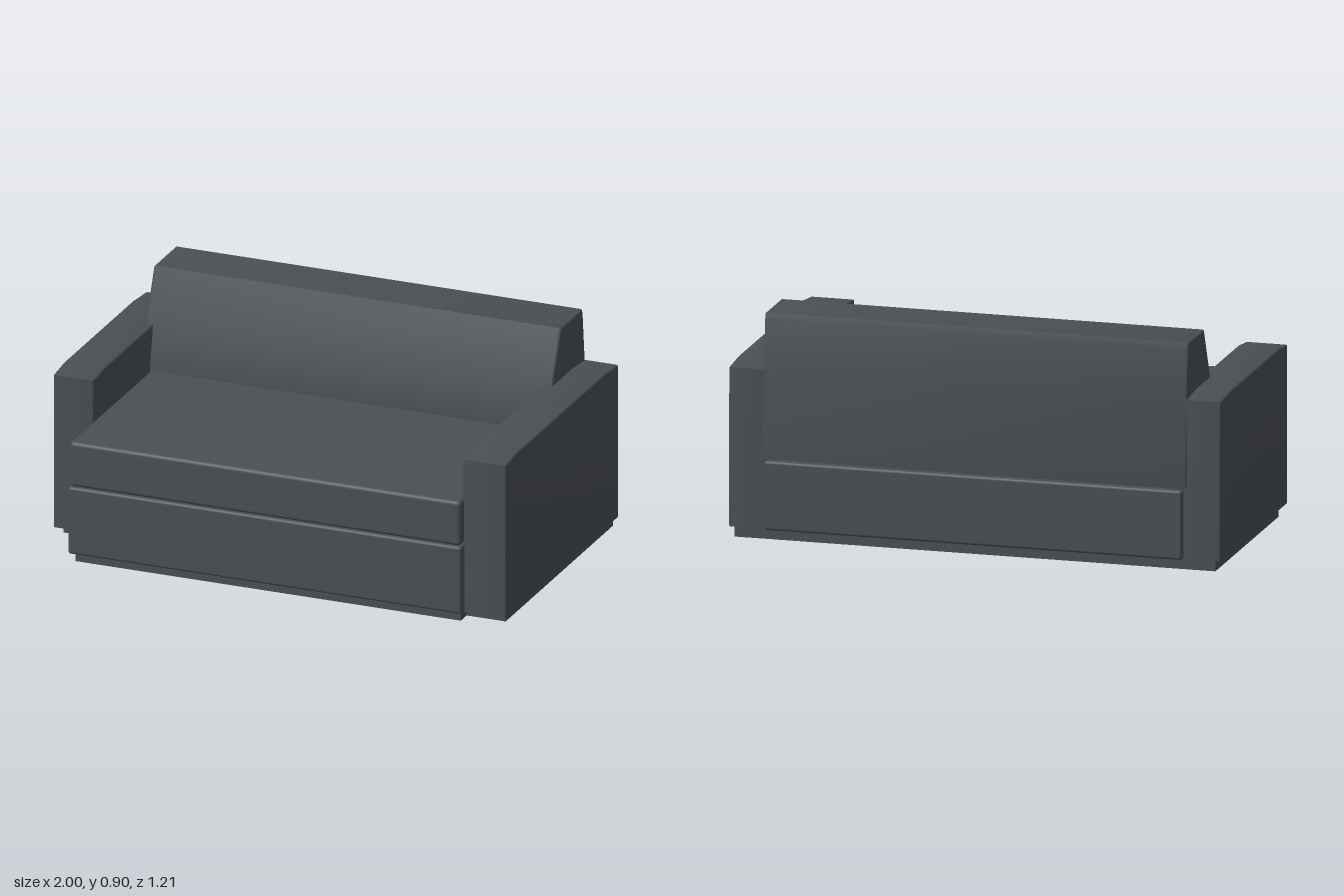
import * as THREE from 'three';
import { toCreasedNormals } from 'three/addons/utils/BufferGeometryUtils.js';
import { RoundedBoxGeometry } from 'three/addons/geometries/RoundedBoxGeometry.js';

export function createModel() {
  const sofa = new THREE.Group();
  sofa.name = 'sofa';
  const fabric = new THREE.MeshStandardMaterial({ color: 0x4a4f54 });
  fabric.name = 'charcoalFabric';

  const add = (name, geometry) => {
    const mesh = new THREE.Mesh(geometry, fabric);
    mesh.name = name;
    sofa.add(mesh);
    return mesh;
  };

  // Box given by its limits; a radius of 0 leaves the edges sharp
  const box = (name, [x0, x1], [y0, y1], [z0, z1], radius = 0.012) => {
    const size = [x1 - x0, y1 - y0, z1 - z0];
    const geometry = radius
      ? new RoundedBoxGeometry(...size, 3, radius)
      : new THREE.BoxGeometry(...size);
    add(name, geometry).position.set((x0 + x1) / 2, (y0 + y1) / 2, (z0 + z1) / 2);
  };

  // Side profile of [z, y] points, swept across x with softened edges
  const sweep = (name, [x0, x1], points, bevel) => {
    const shape = new THREE.Shape(points.map(([z, y]) => new THREE.Vector2(z, y)));
    const geometry = new THREE.ExtrudeGeometry(shape, {
      depth: x1 - x0 - 2 * bevel,
      bevelSize: bevel,
      bevelThickness: bevel,
      bevelOffset: -bevel,
      bevelSegments: 3,
    });
    geometry.rotateY(-Math.PI / 2);
    geometry.translate(x1 - bevel, 0, 0);
    add(name, toCreasedNormals(geometry, 0.6));
  };

  // Plinth, set back under each arm
  box('plinth', [-0.82, 0.81], [0, 0.045], [-0.58, 0.57], 0);
  box('leftPlinth', [0.81, 0.975], [0, 0.045], [-0.58, 0.51], 0);
  box('rightPlinth', [-0.98, -0.82], [0, 0.045], [-0.58, 0.31], 0);

  // Arms: the right one stops short of the seat front
  const arm = (name, xRange, front) => sweep(name, xRange, [
    [-0.58, 0.04], [front, 0.04], [front, 0.681], [front - 0.11, 0.694],
    [-0.44, 0.694], [-0.575, 0.682],
  ], 0.007);
  arm('leftArm', [0.82, 1], 0.57);
  arm('rightArm', [-1, -0.83], 0.365);

  // Seat body, cushion and lower back panel
  box('seatBody', [-0.84, 0.825], [0.04, 0.322], [-0.55, 0.605]);
  box('seatCushion', [-0.832, 0.822], [0.325, 0.512], [-0.4, 0.605], 0.016);
  box('lowerBackPanel', [-0.85, 0.85], [0.04, 0.32], [-0.605, -0.5]);

  // Wedge-shaped backrest
  sweep('backrest', [-0.863, 0.86], [
    [-0.583, 0.322], [-0.21, 0.322], [-0.21, 0.52], [-0.24, 0.69],
    [-0.33, 0.905], [-0.548, 0.905], [-0.555, 0.88], [-0.575, 0.69], [-0.586, 0.4],
  ], 0.008);

  return sofa;
}
